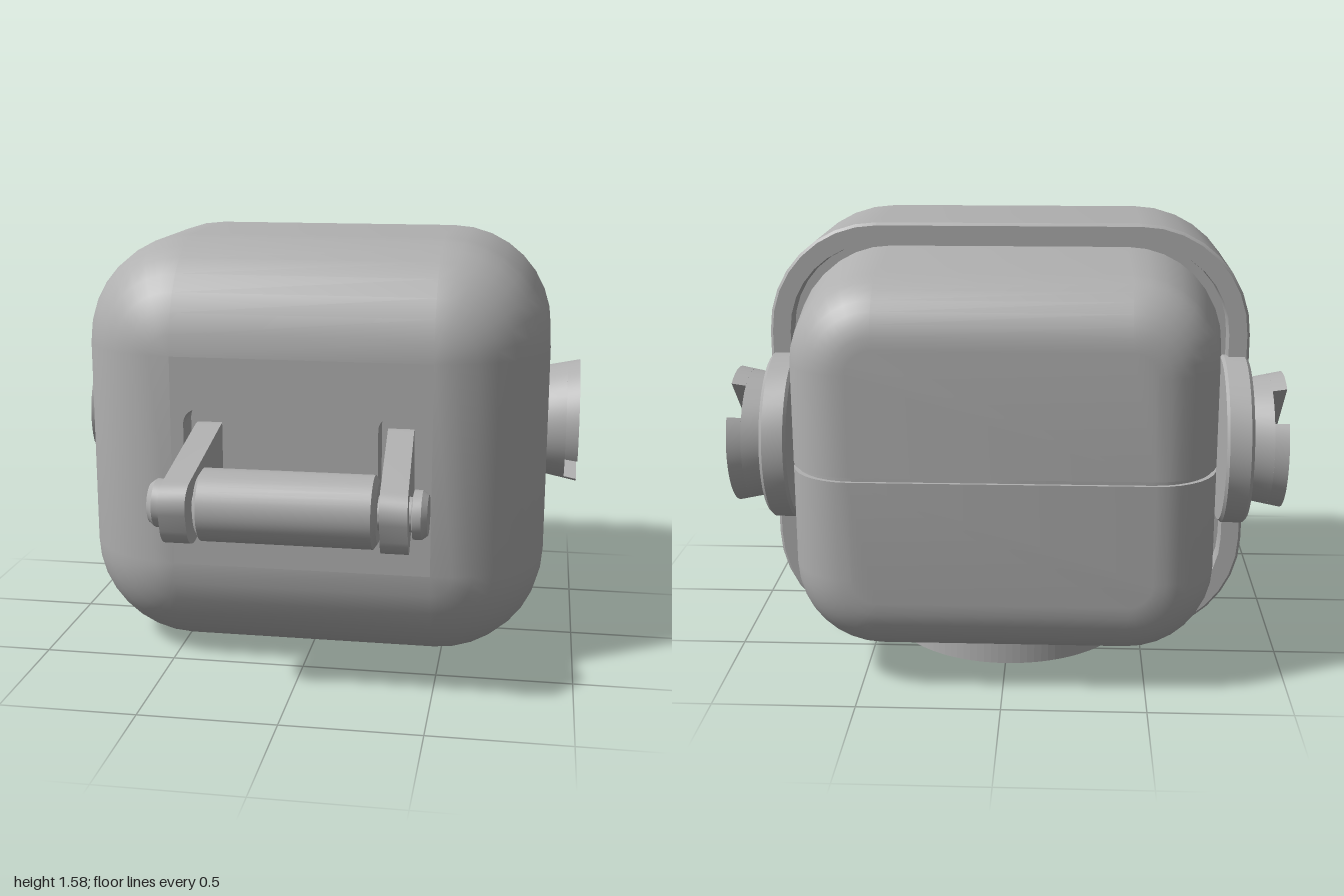
import * as THREE from 'three';
import { toCreasedNormals } from 'three/addons/utils/BufferGeometryUtils.js';

const MID = 0.79; // height of the centre line
const PIVOT_Z = -0.36; // side hinge axis
const grey = new THREE.MeshStandardMaterial({ color: 0xb0b0b0 });
grey.name = 'grey';

function add(parent, name, geometry, x = 0, y = 0, z = 0) {
  const mesh = new THREE.Mesh(geometry, grey);
  mesh.name = name;
  mesh.position.set(x, y, z);
  parent.add(mesh);
  return mesh;
}

// Rounded rectangle loop, counter-clockwise from the bottom right corner
function loop(hw, hh, r, z, half = false) {
  const pts = [];
  const n = 8;
  if (half) pts.push([-hw, 0.008, z], [hw, 0.008, z]);
  for (let c = half ? 1 : 0; c < (half ? 3 : 4); c++) {
    const cx = (c < 2 ? 1 : -1) * (hw - r);
    const cy = (c === 1 || c === 2 ? 1 : -1) * (hh - r);
    for (let k = 0; k <= n; k++) {
      const a = (c - 1 + k / n) * Math.PI / 2;
      pts.push([cx + r * Math.cos(a), cy + r * Math.sin(a), z]);
    }
  }
  return pts;
}

// Skin over loops ordered from front to back
function loft(rings, { front = true, back = true, skip = () => false } = {}) {
  const n = rings[0].length;
  const index = [];
  for (let i = 0; i < rings.length - 1; i++) {
    for (let j = 0; j < n; j++) {
      if (skip(i, j, n)) continue;
      const a = i * n + j, b = i * n + (j + 1) % n;
      index.push(a, a + n, b, b, a + n, b + n);
    }
  }
  const last = (rings.length - 1) * n;
  for (let j = 1; j < n - 1; j++) {
    if (front) index.push(0, j, j + 1);
    if (back) index.push(last, last + j + 1, last + j);
  }
  const g = new THREE.BufferGeometry();
  g.setAttribute('position', new THREE.Float32BufferAttribute(rings.flat(2), 3));
  g.setIndex(index);
  return toCreasedNormals(g, 0.5);
}

const extrude = (shape, depth) =>
  new THREE.ExtrudeGeometry(shape, { depth, bevelEnabled: false, curveSegments: 20 });

// Turned part along the x axis from [x, radius] pairs
function turned(profile) {
  const g = new THREE.LatheGeometry(profile.map(([x, r]) => new THREE.Vector2(r, x)), 40);
  return toCreasedNormals(g.rotateZ(-Math.PI / 2), 0.5);
}

// Capsule or rounded rectangle, turned by an angle
function roundedOutline(Type, cx, cy, w, h, r, angle = 0) {
  const s = new Type();
  const pts = [];
  for (const [x, y] of loop(w / 2, h / 2, r, 0)) {
    pts.push(new THREE.Vector2(x, y).rotateAround(new THREE.Vector2(), angle).add(new THREE.Vector2(cx, cy)));
  }
  s.setFromPoints(pts);
  return s;
}

function circleHole(x, y, r) {
  const p = new THREE.Path();
  p.absarc(x, y, r, 0, Math.PI * 2);
  return p;
}

// Front shell: rounded front, open rim and shallow recess at the back
function buildShell(model) {
  const R = 0.4, steps = 8, rings = [];
  const ring = (z, inset) => rings.push(loop(0.875 - inset, MID - inset, R - inset, z));
  for (let k = steps; k >= 0; k--) {
    const t = (k / steps) * Math.PI / 2;
    ring(0.15 + R * Math.sin(t), R * (1 - Math.cos(t)));
  }
  ring(-0.355, 0);
  ring(-0.365, 0.01);
  ring(-0.365, 0.075);
  ring(-0.3, 0.08);
  const skip = (i, j, n) => i >= steps && j === n - 1; // the base plate goes here
  add(model, 'frontShell', loft(rings, { front: false, skip }), 0, MID, 0);

  // Front panel with two pockets for the handle arms
  const panel = new THREE.Shape();
  panel.moveTo(-0.475, 0.4).lineTo(0.475, 0.4).lineTo(0.475, 1.18).lineTo(-0.475, 1.18).closePath();
  for (const s of [-1, 1]) panel.holes.push(roundedOutline(THREE.Path, s * 0.355, 0.81, 0.145, 0.36, 0.055));
  add(model, 'frontPanel', extrude(panel, 0.12), 0, 0, 0.43);
  add(model, 'pocketFloor', new THREE.BoxGeometry(0.94, 0.76, 0.02), 0, MID, 0.425);
}

// Base plate with a rounded tongue at the back and shallow sockets below
function buildBase(model) {
  const outline = () => {
    const s = new THREE.Shape();
    s.moveTo(0.475, 0.15).lineTo(-0.475, 0.15).lineTo(-0.475, -0.365);
    s.absarc(0, -0.18, 0.46, Math.PI + 0.414, Math.PI * 2 - 0.414, false);
    s.lineTo(0.475, -0.365).closePath();
    return s;
  };
  const plate = outline();
  for (const s of [-1, 1]) {
    plate.holes.push(circleHole(s * 0.235, -0.24, 0.155));
    plate.holes.push(roundedOutline(THREE.Path, s * 0.1, -0.06, 0.15, 0.055, 0.027, s * 0.7));
  }
  const tri = new THREE.Path();
  tri.moveTo(-0.065, -0.41).lineTo(0.065, -0.41).lineTo(0, -0.29).closePath();
  plate.holes.push(tri);
  add(model, 'basePlate', extrude(plate, 0.06).rotateX(Math.PI / 2), 0, 0.06, 0);
  add(model, 'baseCover', extrude(outline(), 0.03).rotateX(Math.PI / 2), 0, 0.09, 0);
}

// Rear body: two tapered halves with a seam, over a slightly smaller core
function buildRear(model) {
  const rings = (half, shrink) => {
    const out = [];
    const ring = (z, inset) =>
      out.push(loop(0.77 - inset - shrink, 0.7 - inset - shrink, 0.34 - inset, z + shrink, half));
    ring(-0.31, 0);
    ring(-0.38, 0);
    for (let k = 0; k <= 8; k++) {
      const t = (k / 8) * Math.PI / 2;
      ring(-0.695 - 0.22 * Math.sin(t), 0.035 + 0.22 * (1 - Math.cos(t)));
    }
    return out;
  };
  add(model, 'rearCore', loft(rings(false, 0.012)), 0, MID, 0);
  add(model, 'rearUpper', loft(rings(true, 0)), 0, MID, 0);
  add(model, 'rearLower', loft(rings(true, 0)), 0, MID, 0).rotation.z = Math.PI;
}

// Hinge ear and slotted knob for the +x side
function buildKnob() {
  const g = new THREE.Group();
  add(g, 'hingeEar', turned([[0.775, 0], [0.775, 0.3], [0.785, 0.31], [0.86, 0.31], [0.872, 0.298], [0.872, 0]]));
  add(g, 'knobBase', turned([[0.86, 0], [0.86, 0.222], [0.95, 0.24], [0.95, 0]]));
  const a = Math.asin(0.07 / 0.25);
  for (const turn of [0, Math.PI]) {
    const seg = new THREE.Shape();
    seg.absarc(0, 0, 0.25, a, Math.PI - a, false);
    seg.closePath();
    const geo = extrude(seg, 0.05);
    // flare towards the outer face
    const p = geo.attributes.position;
    for (let i = 0; i < p.count; i++) {
      if (p.getZ(i) < 0.01) p.setXY(i, p.getX(i) * 0.96, p.getY(i) * 0.96);
    }
    geo.rotateZ(Math.PI / 4 + turn).rotateY(Math.PI / 2);
    add(g, 'knobHalf', toCreasedNormals(geo, 0.5), 0.95, 0, 0);
  }
  g.position.set(0, MID, PIVOT_Z);
  return g;
}

// Handle arm and pin for the +x side
function buildArm() {
  const g = new THREE.Group();
  const shape = roundedOutline(THREE.Shape, -0.155, 0, 0.57, 0.235, 0.085);
  const geo = extrude(shape, 0.095);
  // splay the free end outwards a little
  const p = geo.attributes.position;
  for (let i = 0; i < p.count; i++) p.setZ(i, p.getZ(i) + 0.05 * p.getX(i));
  geo.rotateZ(-0.28).scale(-1, 1, 1).rotateY(Math.PI / 2);
  // restore corner order after the flip
  const flat = geo.index ? geo.toNonIndexed() : geo;
  const q = flat.attributes.position;
  for (let i = 0; i < q.count; i += 3) {
    const b = [q.getX(i + 1), q.getY(i + 1), q.getZ(i + 1)];
    q.setXYZ(i + 1, q.getX(i + 2), q.getY(i + 2), q.getZ(i + 2));
    q.setXYZ(i + 2, ...b);
  }
  // shape x ran to -z; the flip points the free end to the front
  add(g, 'handleArm', toCreasedNormals(flat, 0.5), 0.325, 0, 0);
  add(g, 'handlePin', turned([[0.28, 0.06], [0.43, 0.06], [0.435, 0.085], [0.465, 0.085], [0.485, 0.07], [0.485, 0]]));
  g.position.set(0, 0.705, 0.78);
  return g;
}

export function createModel() {
  const model = new THREE.Group();
  model.name = 'model';
  buildShell(model);
  buildBase(model);
  buildRear(model);
  for (const [side, s] of [['left', 1], ['right', -1]]) {
    for (const [name, build] of [['Knob', buildKnob], ['HandleArm', buildArm]]) {
      const part = build();
      part.name = side + name;
      part.scale.x = s;
      model.add(part);
    }
  }
  // Roller grip between the arms
  add(model, 'handleGrip', turned([[-0.315, 0], [-0.315, 0.105], [-0.3, 0.128], [0.3, 0.128], [0.315, 0.105], [0.315, 0]]),
    0, 0.705, 0.775);
  return model;
}
